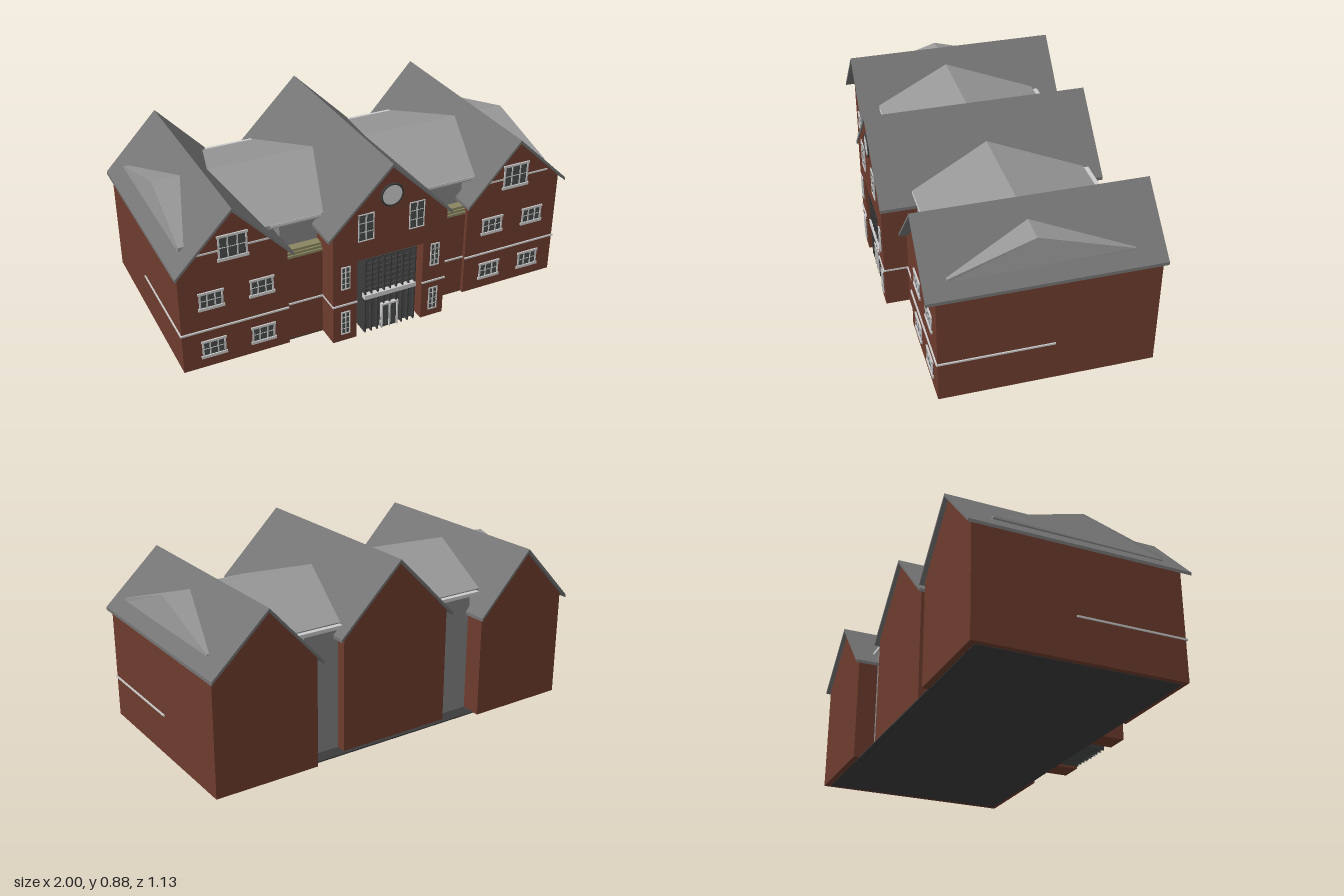
import * as THREE from 'three';

const mat = (color, side = THREE.FrontSide) =>
  new THREE.MeshStandardMaterial({ color, side, flatShading: true });
const M = {
  brick: mat(0x6e3c2e), roof: mat(0x747474), hip: mat(0x979797), trim: mat(0xcccccc),
  glass: mat(0x4a4c4c), dark: mat(0x3c3c3c), inner: mat(0x858585), tan: mat(0x8a8660),
};

export function createModel() {
  const root = new THREE.Group();
  root.name = 'building';

  const add = (name, geo, material, parent = root) => {
    const m = new THREE.Mesh(geo, material);
    m.name = name;
    parent.add(m);
    return m;
  };
  // Box given by its limits on each axis
  const box = (name, material, x0, x1, y0, y1, z0, z1, parent = root) => {
    const m = add(name, new THREE.BoxGeometry(x1 - x0, y1 - y0, z1 - z0), material, parent);
    m.position.set((x0 + x1) / 2, (y0 + y1) / 2, (z0 + z1) / 2);
    return m;
  };
  // Outline in x and y, extruded from z0 to z1
  const prism = (name, material, pts, z0, z1, parent = root) => {
    const shape = new THREE.Shape(pts.map(p => new THREE.Vector2(p[0], p[1])));
    const geo = new THREE.ExtrudeGeometry(shape, { depth: z1 - z0, bevelEnabled: false });
    geo.translate(0, 0, z0);
    return add(name, geo, material, parent);
  };

  // Gabled wing: brick body under a thin chevron roof
  function wing(name, w) {
    const g = new THREE.Group();
    g.name = name;
    root.add(g);
    const [lx, ly] = w.left, [px, py] = w.peak, [rx, ry] = w.right, t = 0.016;
    const yl = ly + (py - ly) * (w.x0 - lx) / (px - lx) - t;
    const yr = ry + (py - ry) * (rx - w.x1) / (rx - px) - t;
    const base = 0.002;
    const gable = [[w.x1, yr], [px, py - t], [w.x0, yl]];
    prism('brickBody', M.brick, [[w.x0, base], [w.x1, base], ...gable], w.back, w.bodyFront, g);
    if (w.opening) {
      const [a, b, top] = w.opening;
      prism('entranceFront', M.brick,
        [[w.x0, base], [a, base], [a, top], [b, top], [b, base], [w.x1, base], ...gable],
        w.bodyFront, w.front, g);
    }
    prism('gableRoof', M.roof,
      [[lx, ly - t], [px, py - t], [rx, ry - t], [rx, ry], [px, py], [lx, ly]],
      w.roofBack, w.roofFront, g);
  }
  const side = { back: -0.545, bodyFront: 0.46, roofBack: -0.567, roofFront: 0.505 };
  wing('rightWing', { ...side, x0: -0.98, x1: -0.465,
    left: [-1, 0.535], peak: [-0.73, 0.817], right: [-0.45, 0.52] });
  wing('leftWing', { ...side, x0: 0.475, x1: 0.99,
    left: [0.45, 0.52], peak: [0.72, 0.817], right: [1, 0.555] });
  wing('centreWing', { x0: -0.285, x1: 0.3, back: -0.495, bodyFront: 0.44, front: 0.555,
    roofBack: -0.515, roofFront: 0.562, opening: [-0.165, 0.18, 0.425],
    left: [-0.31, 0.57], peak: [0.005, 0.885], right: [0.325, 0.57] });

  // Ground slab
  box('floorSlab', M.dark, -0.955, 0.965, 0, 0.006, -0.515, 0.44);

  // Links between the wings, with stepped cornice and gutters
  for (const [x0, x1, g0, g1] of [[-0.47, -0.28, -0.52, -0.27], [0.295, 0.48, 0.28, 0.54]]) {
    box('linkCore', M.inner, x0, x1, 0.004, 0.61, -0.445, 0.385);
    box('linkFront', M.brick, x0, x1, 0.002, 0.452, 0.38, 0.44);
    for (let i = 0; i < 3; i++)
      box('linkCornice', M.tan, x0, x1, 0.45 + i * 0.012, 0.462 + i * 0.012, 0.38, 0.443 - i * 0.008);
    box('linkBand', M.trim, x0, x1, 0.2, 0.208, 0.44, 0.446);
    box('frontGutter', M.trim, g0, g1, 0.607, 0.62, 0.385, 0.402);
    box('backGutter', M.trim, g0, g1, 0.595, 0.612, -0.455, -0.415);
  }

  // Cross roof running along x through all wings, ends sloping inwards a little
  {
    const geo = new THREE.ExtrudeGeometry(new THREE.Shape([
      new THREE.Vector2(-0.4, 0.6), new THREE.Vector2(0.43, 0.605), new THREE.Vector2(0.43, 0.617),
      new THREE.Vector2(-0.01, 0.748), new THREE.Vector2(-0.4, 0.62)]),
    { depth: 1.89, bevelEnabled: false });
    geo.rotateY(Math.PI / 2);
    geo.translate(-0.945, 0, 0);
    const p = geo.attributes.position;
    for (let i = 0; i < p.count; i++)
      if (p.getY(i) > 0.7) p.setX(i, p.getX(i) * 0.985);
    geo.computeVertexNormals();
    add('crossRoof', geo, M.hip);
  }

  // Window: glass, frame, glazing bars, sill and lintel
  function windowUnit(name, x0, x1, y0, y1, z, cols, rows, opts = {}) {
    const g = new THREE.Group();
    g.name = name;
    root.add(g);
    const f = opts.frame ?? 0.008, bar = 0.003, d = z + 0.006;
    box('glass', M.glass, x0, x1, y0, y1, z - 0.004, z + 0.002, g);
    for (const x of [x0, x1 - f]) box('frameSide', M.trim, x, x + f, y0, y1, z, d, g);
    for (const y of [y0, y1 - f]) box('frameRail', M.trim, x0, x1, y, y + f, z, d, g);
    for (let i = 1; i < cols; i++) {
      const x = x0 + (x1 - x0) * i / cols;
      box('mullion', M.trim, x - bar, x + bar, y0, y1, z, d - 0.001, g);
    }
    for (let i = 1; i < rows; i++) {
      const y = y0 + (y1 - y0) * i / rows;
      box('glazingBar', M.trim, x0, x1, y - bar / 2, y + bar / 2, z, d - 0.002, g);
    }
    if (opts.sill) {
      box('sill', M.trim, x0 - 0.006, x1 + 0.006, y0 - 0.005, y0 + 0.009, z, d + 0.002, g);
      box('lintel', M.trim, x0 - 0.004, x1 + 0.004, y1 - 0.009, y1 + 0.002, z, d + 0.001, g);
    }
  }
  for (const x of [-0.833, -0.593, 0.62, 0.85])
    for (const y of [0.102, 0.36])
      windowUnit('wingWindow', x - 0.056, x + 0.056, y - 0.043, y + 0.043, 0.46, 3, 2, { sill: true });
  for (const x of [-0.72, 0.735])
    windowUnit('gableWindow', x - 0.068, x + 0.068, 0.548, 0.67, 0.46, 3, 2, { sill: true });
  for (const [a, b] of [[-0.163, -0.083], [0.097, 0.175]])
    windowUnit('centreGableWindow', a, b, 0.525, 0.665, 0.555, 2, 3, { frame: 0.004 });
  for (const [a, b] of [[-0.246, -0.2], [0.218, 0.265]])
    for (const [c, d] of [[0.04, 0.165], [0.29, 0.412]])
      windowUnit('pillarWindow', a, b, c, d, 0.555, 2, 4, { frame: 0.005 });

  // Round window in the centre gable
  const pane = add('roundPane', new THREE.CylinderGeometry(0.052, 0.052, 0.008, 32), M.trim);
  pane.rotation.x = Math.PI / 2;
  pane.position.set(0.005, 0.73, 0.556);
  add('roundFrame', new THREE.TorusGeometry(0.053, 0.006, 6, 32), M.dark).position.set(0.005, 0.73, 0.557);

  // Thin stone bands
  const band = (x0, x1, y, z0, z1) => box('stoneBand', M.trim, x0, x1, y, y + 0.008, z0, z1);
  band(-0.985, -0.465, 0.2, 0.455, 0.467);
  band(0.475, 0.995, 0.2, 0.455, 0.467);
  band(-0.986, -0.975, 0.2, -0.07, 0.467);
  band(0.985, 0.996, 0.2, -0.07, 0.467);
  band(-0.288, -0.165, 0.2, 0.55, 0.561);
  band(0.18, 0.303, 0.2, 0.55, 0.561);
  for (const x of [-0.288, 0.297]) band(x, x + 0.006, 0.2, 0.44, 0.561);
  band(-0.92, -0.788, 0.596, 0.455, 0.464);
  band(-0.652, -0.54, 0.596, 0.455, 0.464);
  band(0.54, 0.667, 0.596, 0.455, 0.464);
  band(0.803, 0.92, 0.596, 0.455, 0.464);

  // Glazed entrance bay with deep fins, transoms and a light band
  const bay = new THREE.Group();
  bay.name = 'entranceBay';
  root.add(bay);
  prism('bayGlass', M.glass, [[-0.115, 0.004], [0.15, 0.004], [0.15, 0.4], [0.13, 0.424],
    [-0.095, 0.424], [-0.115, 0.4]], 0.44, 0.525, bay);
  for (let i = 0; i <= 8; i++) {
    const x = -0.113 + i * 0.0325;
    const inDoor = x > -0.03 && x < 0.06;
    box('fin', M.dark, x - 0.003, x + 0.003, inDoor ? 0.14 : 0.002, 0.41, 0.44, 0.545, bay);
  }
  for (let i = 0; i < 7; i++) {
    const y = 0.235 + i * 0.028;
    box('transom', M.dark, -0.115, 0.15, y, y + 0.004, 0.52, 0.538, bay);
  }
  box('bayBand', M.trim, -0.12, 0.15, 0.193, 0.216, 0.52, 0.552, bay);

  // Double entrance door
  box('doorGlass', M.glass, -0.028, 0.06, 0.002, 0.135, 0.525, 0.54, bay);
  for (const x of [-0.028, 0.0125, 0.053])
    box('doorPost', M.trim, x, x + 0.007, 0.002, 0.137, 0.53, 0.548, bay);
  box('doorHead', M.trim, -0.028, 0.06, 0.129, 0.138, 0.53, 0.548, bay);

  return root;
}
